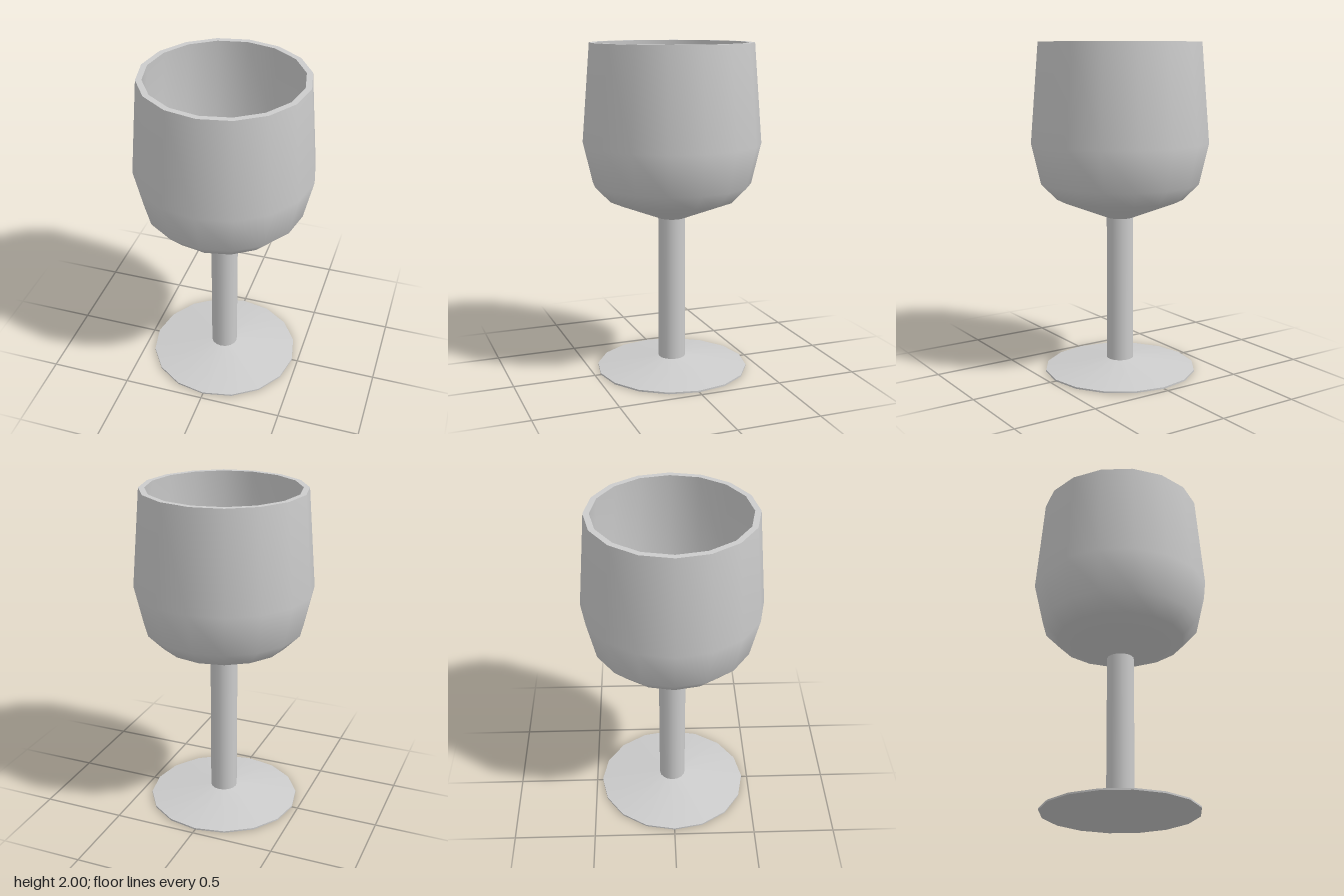
import * as THREE from 'three';

const SIDES = 16;
const material = new THREE.MeshStandardMaterial({ color: 0xcccccc });

// Smooth surface of revolution; outward faces run bottom to top
function turned(name, profile) {
  const points = profile.map(([r, y]) => new THREE.Vector2(r, y));
  const mesh = new THREE.Mesh(new THREE.LatheGeometry(points, SIDES), material);
  mesh.name = name;
  return mesh;
}

export function createModel() {
  const glass = new THREE.Group();
  glass.name = 'wineGlass';

  // Foot: flat underside, thin edge, shallow cone up to the stem
  const foot = new THREE.Group();
  foot.name = 'foot';
  foot.add(
    turned('footUnderside', [[0, 0], [0.463, 0]]),
    turned('footEdge', [[0.463, 0], [0.463, 0.01]]),
    turned('footTop', [[0.463, 0.01], [0.082, 0.07]]),
  );

  // Stem
  const stem = turned('stem', [[0.082, 0.07], [0.082, 0.953]]);

  // Bowl: outer wall, flat rim and inner wall
  const bowl = new THREE.Group();
  bowl.name = 'bowl';
  bowl.add(
    turned('bowlOuter', [[0.082, 0.953], [0.385, 1.07], [0.478, 1.165], [0.535, 1.41], [0.487, 2]]),
    turned('bowlRim', [[0.487, 2], [0.452, 2]]),
    turned('bowlInner', [[0.452, 2], [0.5, 1.41], [0.445, 1.18], [0.365, 1.1], [0.075, 0.99], [0, 0.99]]),
  );

  glass.add(foot, stem, bowl);
  return glass;
}
